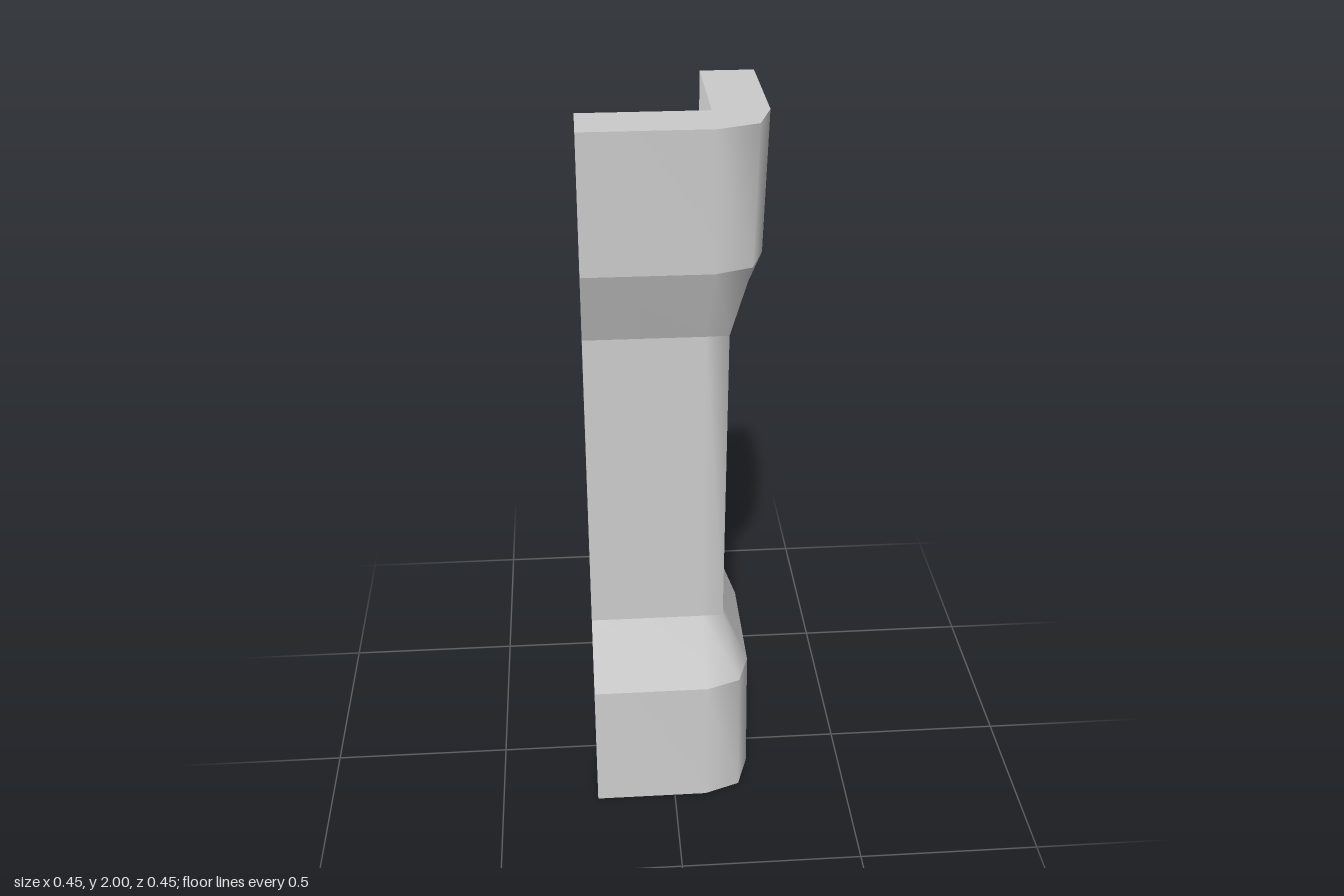
import * as THREE from 'three';

const E = 0.225; // half the width of the angle section
const LIP = 0.09; // inner edge of the caps

// Height, outer face distance, corner chamfer size, corner tip inset
const LEVELS = [
  [0, 0.225, 0.135, 0.035], [0.39, 0.217, 0.125, 0.033], [0.59, 0.14, 0.06, 0.002],
  [1.45, 0.14, 0.06, 0.002], [1.65, 0.217, 0.125, 0.033], [2, 0.225, 0.135, 0.035],
];

// Inner edge of the side plates: straight at both ends, swelling in the middle
const swell = new THREE.CatmullRomCurve3(
  [[0.36, 0.09], [0.59, -0.025], [0.75, -0.1], [0.88, -0.14], [1.02, -0.153],
    [1.16, -0.14], [1.29, -0.1], [1.45, -0.025], [1.67, 0.09]]
    .map(([y, k]) => new THREE.Vector3(k, y, 0)));

function outerRow([y, d, c, s]) {
  return [[-E, d], [d - c, d], [d - s, d - s], [d, d - c], [d, -E]]
    .map(([x, z]) => new THREE.Vector3(x, y, z));
}

export function createModel() {
  const group = new THREE.Group();
  group.name = 'cornerGuard';
  const material = new THREE.MeshStandardMaterial({ color: 0xcccccc, side: THREE.DoubleSide });

  function addMesh(name, geometry) {
    const mesh = new THREE.Mesh(geometry, material);
    mesh.name = name;
    group.add(mesh);
  }

  // Smooth sheet between two rows of points
  function addStrip(name, lower, upper) {
    const n = lower.length;
    const index = [];
    for (let i = 0; i < n - 1; i++) {
      index.push(i, i + 1, i + n, i + 1, i + n + 1, i + n);
    }
    const geometry = new THREE.BufferGeometry().setFromPoints([...lower, ...upper]);
    geometry.setIndex(index);
    geometry.computeVertexNormals();
    addMesh(name, geometry);
  }

  // Thin outer wall: separate bands keep the flare edges crisp
  for (let i = 0; i < LEVELS.length - 1; i++) {
    addStrip('outerWall', outerRow(LEVELS[i]), outerRow(LEVELS[i + 1]));
  }

  // Flat side plates: outline follows the wall outside and the swell inside
  const outline = [
    ...LEVELS.map(([y, d]) => new THREE.Vector2(d, y)),
    new THREE.Vector2(LIP, 2),
    ...swell.getPoints(32).reverse().map((p) => new THREE.Vector2(p.x, p.y)),
    new THREE.Vector2(LIP, 0),
  ];
  const plate = new THREE.ShapeGeometry(new THREE.Shape(outline));
  addMesh('sideArmPlate', plate.clone().rotateY(Math.PI).scale(-1, 1, 1).translate(0, 0, -E));
  addMesh('frontArmPlate', plate.clone().rotateY(-Math.PI / 2).translate(-E, 0, 0));

  // The mirrored plate needs its corners in reverse order
  const mirrored = group.getObjectByName('sideArmPlate').geometry;
  mirrored.setIndex([...mirrored.index.array].reverse());
  mirrored.computeVertexNormals();

  // Flat L-shaped caps
  function capRows(level) {
    const y = level[0];
    const corner = new THREE.Vector3(LIP, y, LIP);
    const inner = [new THREE.Vector3(-E, y, LIP), corner, corner, corner,
      new THREE.Vector3(LIP, y, -E)];
    return [outerRow(level), inner];
  }
  const [bottomOuter, bottomInner] = capRows(LEVELS[0]);
  addStrip('bottomCap', bottomInner, bottomOuter);
  addStrip('topCap', ...capRows(LEVELS[5]));

  return group;
}
